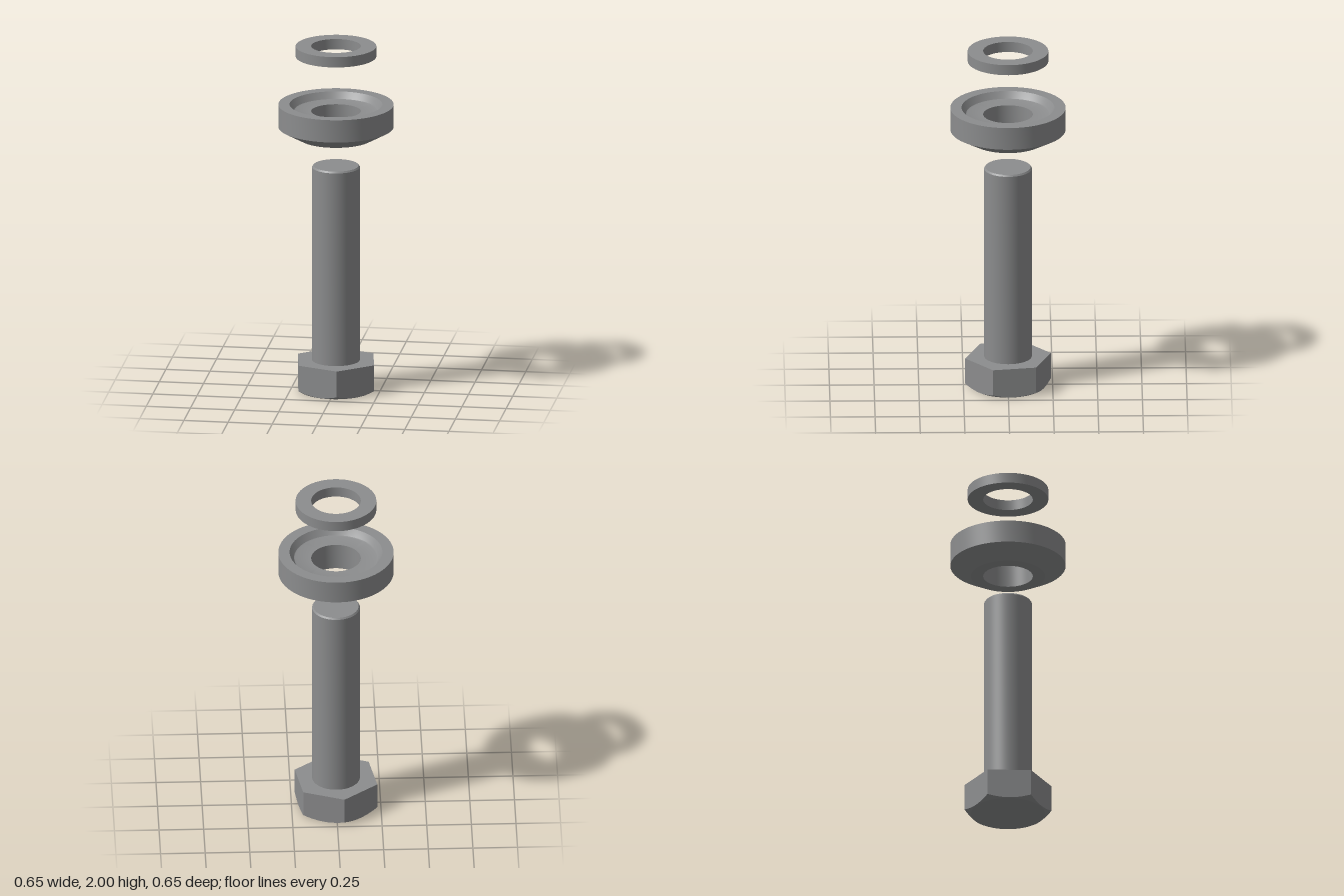
import * as THREE from 'three';
import { toCreasedNormals } from 'three/addons/utils/BufferGeometryUtils.js';

const steel = new THREE.MeshStandardMaterial({ color: 0x8c8d8e });
steel.name = 'steel grey';

function addMesh(group, name, geometry) {
  const mesh = new THREE.Mesh(geometry, steel);
  mesh.name = name;
  group.add(mesh);
}

// Turned part from [radius, height] points, with sharp machined edges
function turned(points) {
  const profile = points.map(([r, y]) => new THREE.Vector2(r, y));
  return toCreasedNormals(new THREE.LatheGeometry(profile, 72), 0.42);
}

// Hexagonal prism whose lower corners are cut by a shallow cone
function hexHead(cornerRadius, height, faceRadius, turn) {
  const perSide = 10, count = perSide * 6;
  const apothem = cornerRadius * Math.cos(Math.PI / 6);
  const rings = [[], [], [], [], []];
  for (let i = 0; i <= count; i++) {
    const a = (i / count) * Math.PI * 2;
    const r = apothem / Math.cos((a % (Math.PI / 3)) - Math.PI / 6);
    const chamferY = (r - faceRadius) * Math.tan(Math.PI / 6);
    const ringSizes = [[0, height], [r, height], [r, chamferY], [faceRadius, 0], [0, 0]];
    ringSizes.forEach(([radius, y], k) => rings[k].push(
      [radius * Math.cos(a + turn), y, radius * Math.sin(a + turn)]));
  }
  const positions = [];
  for (let k = 0; k < 4; k++) {
    const upper = rings[k], lower = rings[k + 1];
    for (let i = 0; i < count; i++) {
      if (k > 0) positions.push(...upper[i], ...upper[i + 1], ...lower[i]);
      if (k < 3) positions.push(...upper[i + 1], ...lower[i + 1], ...lower[i]);
    }
  }
  const geometry = new THREE.BufferGeometry();
  geometry.setAttribute('position', new THREE.Float32BufferAttribute(positions, 3));
  geometry.computeVertexNormals();
  return toCreasedNormals(geometry, 0.25);
}

export function createModel() {
  const model = new THREE.Group();
  model.name = 'bolt and washers';

  // Bolt: hexagonal head at the bottom, plain shank with a chamfered tip
  const bolt = new THREE.Group();
  bolt.name = 'bolt';
  addMesh(bolt, 'hexHead', hexHead(0.244, 0.172, 0.207, THREE.MathUtils.degToRad(20.6)));
  addMesh(bolt, 'shank', turned([[0.134, 0.17], [0.134, 1.295], [0.127, 1.304], [0, 1.304]]));
  model.add(bolt);

  // Cup washer: tapered underside, sloped recess on top, through bore
  addMesh(model, 'cupWasher', turned([
    [0.139, 1.466], [0.208, 1.466], [0.323, 1.53], [0.323, 1.66], [0.26, 1.66],
    [0.239, 1.628], [0.235, 1.623], [0.228, 1.62], [0.139, 1.62], [0.139, 1.466],
  ]));

  // Flat ring washer
  addMesh(model, 'ringWasher', turned([
    [0.139, 1.94], [0.226, 1.94], [0.226, 2], [0.139, 2], [0.139, 1.94],
  ]));

  return model;
}
